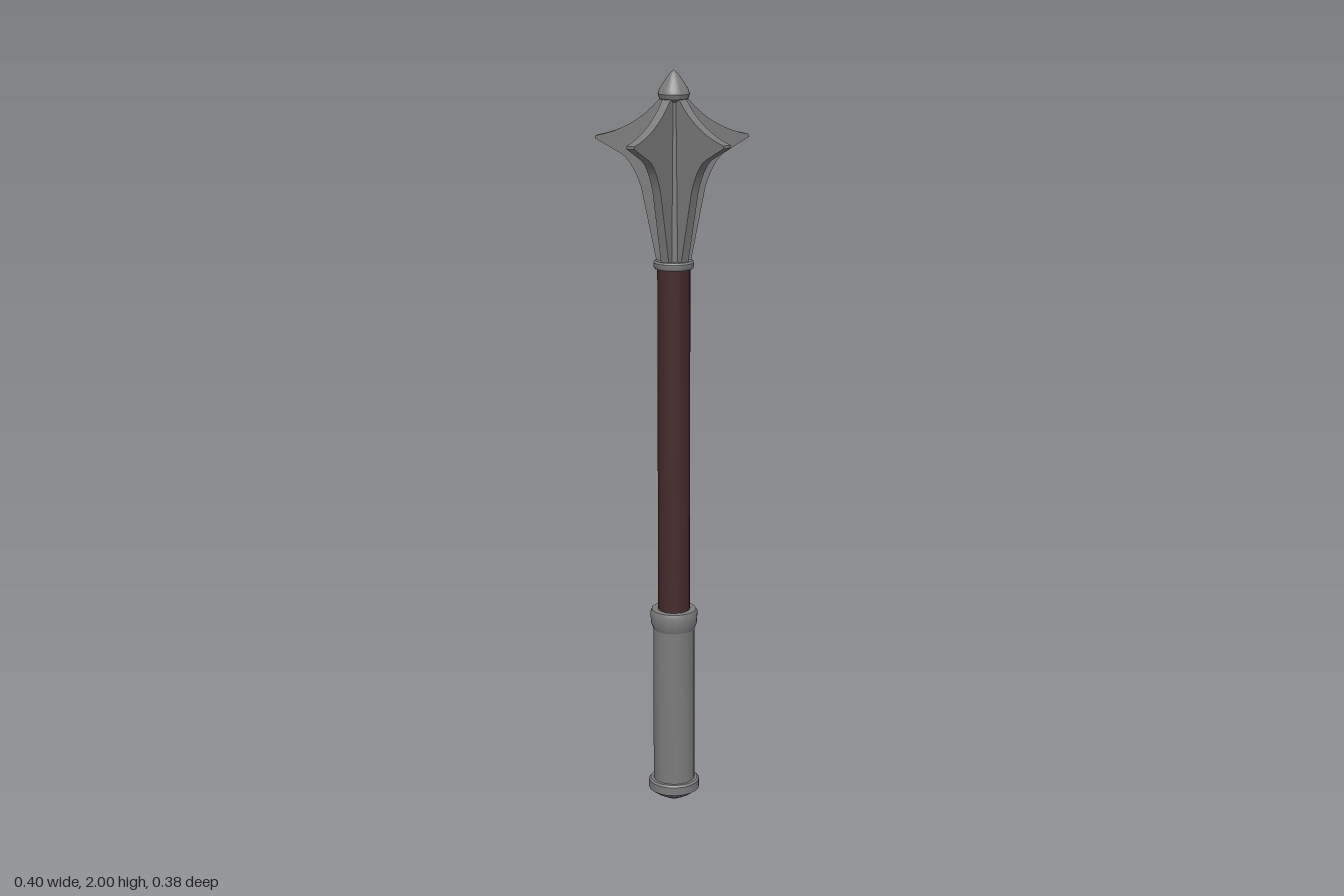
import * as THREE from 'three';
import { toCreasedNormals } from 'three/addons/utils/BufferGeometryUtils.js';

export function createModel() {
  const model = new THREE.Group();
  const steel = new THREE.MeshStandardMaterial({ name: 'steel', color: 0x7c7c7c });
  const leather = new THREE.MeshStandardMaterial({ name: 'darkRedWood', color: 0x442a2c });

  // The weapon's axis sits slightly behind the centre of its bounds
  const mace = new THREE.Group();
  mace.name = 'mace';
  mace.position.set(-0.002, 0, -0.017);
  model.add(mace);

  // Turned part from [radius, height] pairs, listed bottom to top
  function turned(name, points, material, sides = 20) {
    const profile = points.map(([r, y]) => new THREE.Vector2(r, y));
    const geometry = toCreasedNormals(new THREE.LatheGeometry(profile, sides), 0.6);
    const mesh = new THREE.Mesh(geometry, material);
    mesh.name = name;
    mace.add(mesh);
  }

  // Handle
  turned('pommel', [[0, 0], [0.025, 0.012], [0.05, 0.026], [0.069, 0.04],
    [0.069, 0.063], [0.064, 0.068], [0, 0.068]], steel);
  turned('grip', [[0.056, 0.06], [0.056, 0.51]], steel);
  turned('gripCollar', [[0.054, 0.5], [0.062, 0.52], [0.064, 0.55],
    [0.06, 0.56], [0, 0.56]], steel);
  turned('shaft', [[0.043, 0.55], [0.043, 1.5]], leather);

  // Head: collar, core and pointed finial
  turned('headCollar', [[0, 1.492], [0.05, 1.492], [0.053, 1.497],
    [0.053, 1.508], [0.049, 1.513], [0, 1.513]], steel);
  turned('headCore', [[0.032, 1.505], [0.026, 1.93]], steel);
  turned('finial', [[0, 1.918], [0.026, 1.92], [0.037, 1.928], [0.041, 1.94],
    [0.037, 1.952], [0.024, 1.972], [0.011, 1.99], [0, 2]], steel, 28);

  // Five radial flanges with concave edges meeting in a point
  const outline = new THREE.Shape();
  outline.moveTo(0.01, 1.505);
  outline.lineTo(0.042, 1.505);
  outline.lineTo(0.083, 1.7);
  outline.quadraticCurveTo(0.108, 1.775, 0.145, 1.79);
  outline.lineTo(0.204, 1.822);
  outline.lineTo(0.204, 1.829);
  outline.quadraticCurveTo(0.1, 1.85, 0.035, 1.927);
  outline.lineTo(0.01, 1.927);
  outline.closePath();
  const thickness = 0.024;
  const blade = new THREE.ExtrudeGeometry(outline, {
    depth: thickness, bevelEnabled: false, curveSegments: 8,
  });
  blade.translate(0, 0, -thickness / 2);
  const flangeGeometry = toCreasedNormals(blade, 0.6);
  for (let i = 0; i < 5; i++) {
    const flange = new THREE.Mesh(flangeGeometry, steel);
    flange.name = 'flange' + (i + 1);
    flange.rotation.y = -Math.PI / 2 + (i * Math.PI * 2) / 5;
    mace.add(flange);
  }

  return model;
}
